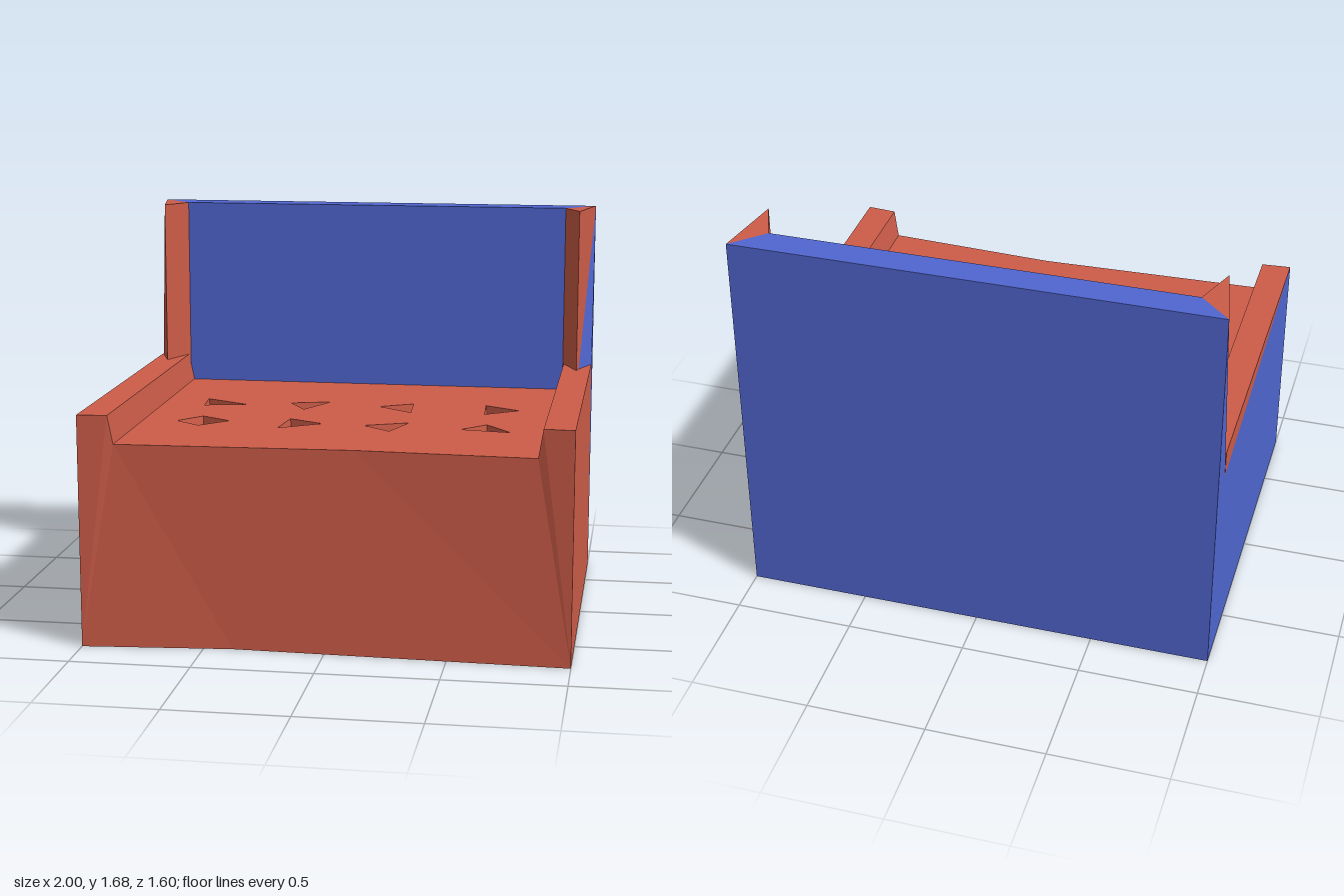
import * as THREE from 'three';

export function createModel() {
  const model = new THREE.Group();
  model.name = 'armchair';
  const mat = (name, color) => {
    const m = new THREE.MeshStandardMaterial({ color, side: THREE.DoubleSide });
    m.name = name;
    return m;
  };
  const red = mat('red', 0xcc5c48);
  const blue = mat('blue', 0x5066d0);
  const brown = mat('brown', 0xa06414);

  // One mesh from polygons, each listed counter-clockwise and split as a fan
  function faces(name, material, polygons) {
    const pos = [];
    for (const p of polygons) {
      for (let i = 1; i < p.length - 1; i++) pos.push(...p[0], ...p[i], ...p[i + 1]);
    }
    const g = new THREE.BufferGeometry();
    g.setAttribute('position', new THREE.Float32BufferAttribute(pos, 3));
    g.computeVertexNormals();
    const mesh = new THREE.Mesh(g, material);
    mesh.name = name;
    model.add(mesh);
  }
  // Mirror polygons across x when s is -1, keeping them facing outward
  const side = (s, polygons) => s > 0 ? polygons
    : polygons.map(p => p.map(([x, y, z]) => [-x, y, z]).reverse());

  const seatY = 0.85, armY = 0.97, topY = 1.68;

  // Front panel, bowed slightly inward
  const p0 = [-1, 0, 0.8], p1 = [-0.38, 0, 0.745], p2 = [1, 0, 0.785];
  const seatL = [-0.855, seatY, 0.78], seatMid = [0.12, seatY, 0.745], seatR = [0.855, seatY, 0.78];
  faces('frontPanel', red, [
    [p0, seatL, [-0.875, armY, 0.79], [-1, armY, 0.8]],
    [p1, seatMid, seatL, p0],
    [p2, seatR, seatMid, p1],
    [p2, [1, armY, 0.8], [0.875, armY, 0.79], seatR],
  ]);

  // Underside and backrest
  faces('underside', blue, [[[-1, 0, -0.8], [1, 0, -0.8], p2, p1, p0]]);
  faces('backrest', blue, [
    [[1, 0, -0.8], [-1, 0, -0.8], [-1, topY, -0.8], [1, topY, -0.8]],
    [[1, topY, -0.8], [-1, topY, -0.8], [-0.87, topY, -0.675], [0.87, topY, -0.675]],
    [[-0.87, seatY, -0.675], [0.87, seatY, -0.675], [0.87, topY, -0.675], [-0.87, topY, -0.675]],
  ]);

  // Armrests and the wings of the backrest
  const A = [1, topY, -0.8], T = [0.94, 1.685, -0.5], B = [0.94, 0.86, -0.5], C = [1, 0.86, -0.66];
  const innerTop = [0.87, topY, -0.675], innerLow = [0.87, seatY, -0.675];
  const armRear = [1, armY, -0.66], armFront = [1, armY, 0.8];
  for (const s of [1, -1]) {
    const label = s > 0 ? 'left' : 'right';
    faces(label + 'Armrest', red, side(s, [
      [armRear, [0.875, armY, -0.66], [0.875, armY, 0.79], armFront],
      [[0.855, seatY, -0.675], seatR, [0.875, armY, 0.79], [0.875, armY, -0.66]],
      [C, [0.86, 0.86, -0.66], [0.875, armY, -0.66], armRear],
    ]));
    faces(label + 'Wing', red, side(s, [
      [innerLow, B, T, innerTop],
      [A, innerTop, T],
      s > 0 ? [A, T, B] : [T, B, C],
    ]));
    faces(label + 'WingPanel', blue, side(s, [
      s > 0 ? [A, B, C] : [A, T, C],
      [[1, 0, -0.8], A, C],
    ]));
  }

  // Outer sides: one red, one mostly blue with a red wedge under the armrest
  faces('leftSide', red, [[p2, [1, 0, -0.8], C, armRear, armFront]]);
  faces('rightSide', blue, side(-1, [[[1, 0, 0.8], [1, 0, -0.8], C, armFront]]));
  faces('rightSideWedge', red, side(-1, [[armFront, C, armRear]]));

  // Seat with button pits, each outline given as x, z
  const pits = [
    [[-0.68, -0.21], [-0.49, -0.11], [-0.67, -0.07]],
    [[-0.30, -0.17], [-0.13, -0.22], [-0.22, -0.04]],
    [[0.10, -0.15], [0.24, -0.23], [0.25, -0.04]],
    [[0.56, -0.24], [0.71, -0.15], [0.57, -0.05]],
    [[-0.62, 0.17], [-0.49, 0.25], [-0.60, 0.36], [-0.71, 0.28]],
    [[-0.24, 0.17], [-0.09, 0.25], [-0.26, 0.36]],
    [[0.09, 0.26], [0.27, 0.18], [0.21, 0.36]],
    [[0.60, 0.17], [0.71, 0.31], [0.50, 0.28]],
  ];
  const flat = pts => pts.map(([x, z]) => new THREE.Vector2(x, -z));
  const seatShape = new THREE.Shape(flat([
    [-0.87, -0.675], [-0.855, 0.78], [0.12, 0.745], [0.855, 0.78], [0.87, -0.675],
  ]));
  for (const p of pits) seatShape.holes.push(new THREE.Path(flat(p)));
  const seat = new THREE.Mesh(new THREE.ShapeGeometry(seatShape).rotateX(-Math.PI / 2), red);
  seat.position.y = seatY;
  seat.name = 'seat';
  model.add(seat);

  // Red pit walls above brown pointed bottoms
  const walls = [], bottoms = [];
  for (const p of pits) {
    const cx = p.reduce((t, q) => t + q[0], 0) / p.length;
    const cz = p.reduce((t, q) => t + q[1], 0) / p.length;
    const ring = (k, y) => p.map(([x, z]) => [cx + (x - cx) * k, y, cz + (z - cz) * k]);
    const top = ring(1, seatY), low = ring(0.88, seatY - 0.06);
    p.forEach((_, i) => {
      const j = (i + 1) % p.length;
      walls.push([top[i], low[i], low[j], top[j]]);
      bottoms.push([low[i], [cx, seatY - 0.14, cz], low[j]]);
    });
  }
  faces('pitWalls', red, walls);
  faces('pitBottoms', brown, bottoms);

  return model;
}
